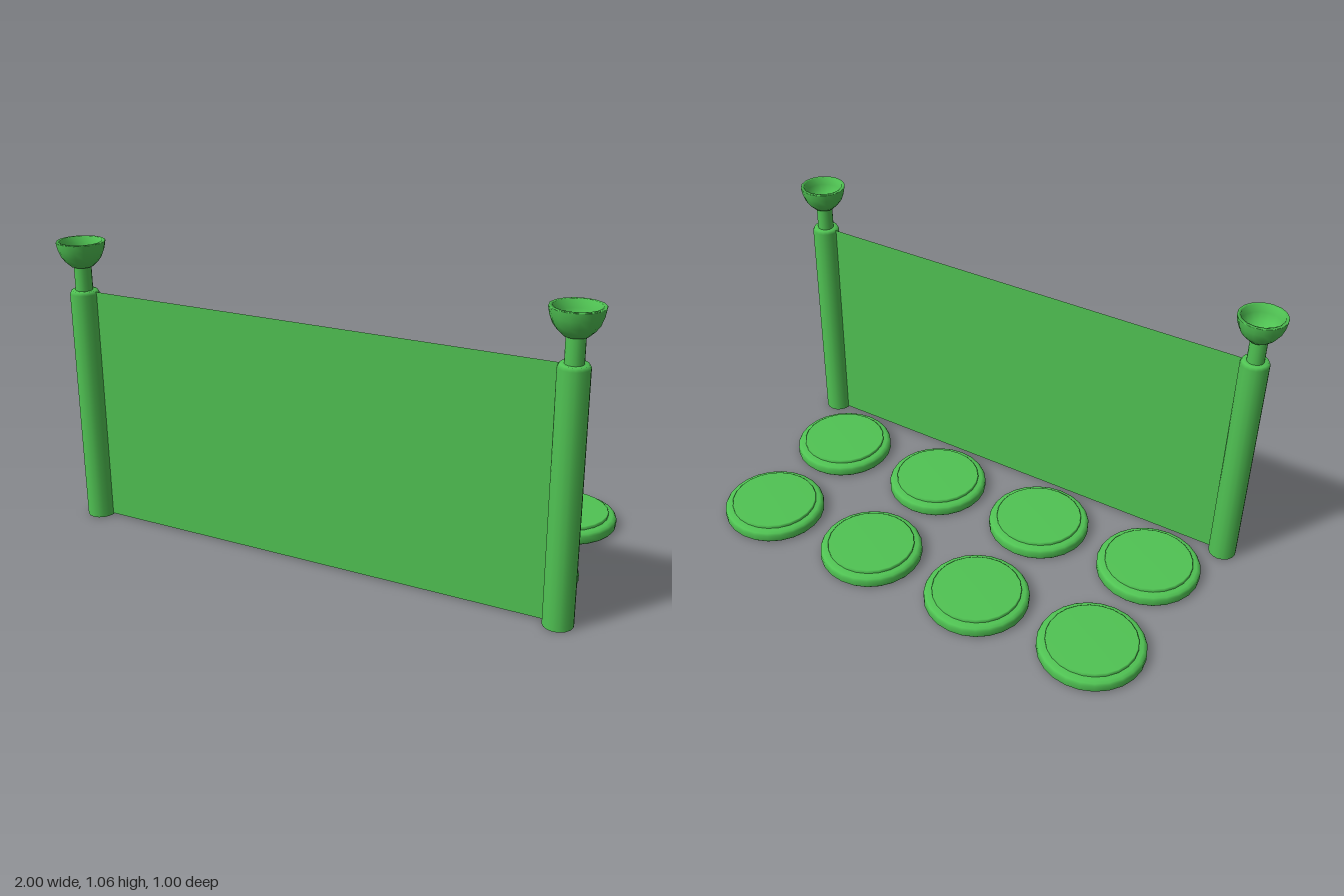
import * as THREE from 'three';

export function createModel() {
  const model = new THREE.Group();
  const green = new THREE.MeshStandardMaterial({ color: 0x50c353, side: THREE.DoubleSide });
  green.name = 'green';

  const lathe = (profile, sides) =>
    new THREE.LatheGeometry(profile.map(([r, y]) => new THREE.Vector2(r, y)), sides);

  const add = (parent, name, geometry, x = 0, y = 0, z = 0) => {
    const mesh = new THREE.Mesh(geometry, green);
    mesh.name = name;
    mesh.position.set(x, y, z);
    parent.add(mesh);
  };

  // Banner stretched between the two posts
  add(model, 'banner', new THREE.PlaneGeometry(1.82, 0.876), 0, 0.442, 0.41);

  // Posts: hollow shaft, slim neck and an open bowl on top
  const shaft = lathe([[0.052, 0], [0.052, 0.872], [0.046, 0.884], [0.03, 0.884]], 16);
  const neck = new THREE.CylinderGeometry(0.031, 0.031, 0.1, 16, 1, true);
  const bowl = lathe([
    [0.028, 0.968], [0.04, 0.972], [0.058, 0.989], [0.072, 1.008], [0.082, 1.034], [0.087, 1.06],
    [0.086, 1.063], [0.075, 1.063],
    [0.07, 1.035], [0.058, 1.01], [0.038, 0.992], [0, 0.985],
  ], 16);
  for (const side of [-1, 1]) {
    const post = new THREE.Group();
    post.name = side > 0 ? 'leftPost' : 'rightPost';
    post.position.set(side * 0.912, 0, 0.412);
    add(post, 'shaft', shaft);
    add(post, 'neck', neck, 0, 0.93);
    add(post, 'bowl', bowl);
    model.add(post);
  }

  // Two rows of four round pads, hollow underneath with a raised lid
  const rim = lathe([
    [0.165, 0.036], [0.165, 0.006], [0.17, 0], [0.19, 0], [0.195, 0.006],
    [0.195, 0.03], [0.19, 0.039], [0.18, 0.044], [0.16, 0.045],
  ], 24);
  const lid = lathe([[0.165, 0.044], [0.165, 0.053], [0.161, 0.056], [0, 0.057]], 24);
  const ceiling = lathe([[0, 0.034], [0.12, 0.034], [0.165, 0.012]], 24);
  for (const z of [0.166, -0.304]) {
    for (let i = 0; i < 4; i++) {
      const pad = new THREE.Group();
      pad.name = 'pad';
      pad.position.set(-0.713 + i * 0.471, 0, z);
      add(pad, 'padRim', rim);
      add(pad, 'padLid', lid);
      add(pad, 'padUnderside', ceiling);
      model.add(pad);
    }
  }
  return model;
}
